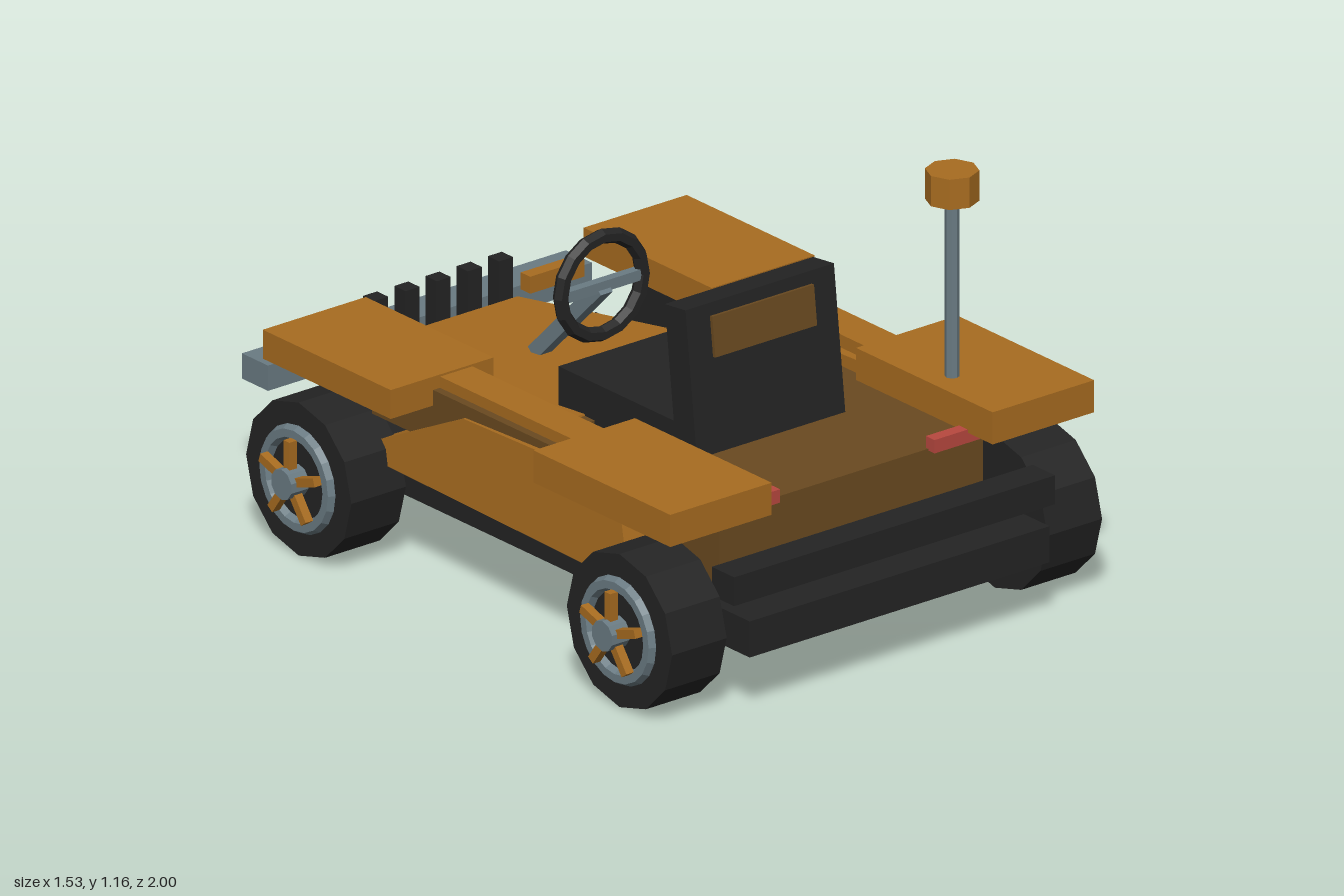
import * as THREE from 'three';

export function createModel() {
  const model = new THREE.Group();
  model.name = 'buggy';
  const mat = (name, color) => {
    const m = new THREE.MeshStandardMaterial({ color, flatShading: true });
    m.name = name;
    return m;
  };
  const orange = mat('orange paint', 0xa86c20);
  const brown = mat('brown panel', 0x6a4a20);
  const black = mat('black', 0x242424);
  const grey = mat('steel grey', 0x6a7b83);
  const red = mat('red lamp', 0xb8483f);

  const add = (name, geo, m, parent = model) => {
    const mesh = new THREE.Mesh(geo, m);
    mesh.name = name;
    parent.add(mesh);
    return mesh;
  };
  // Box given by its lower and upper limits
  const box = (name, m, x0, x1, y0, y1, z0, z1, parent) => {
    const mesh = add(name, new THREE.BoxGeometry(x1 - x0, y1 - y0, z1 - z0), m, parent);
    mesh.position.set((x0 + x1) / 2, (y0 + y1) / 2, (z0 + z1) / 2);
    return mesh;
  };
  const sideBox = (name, m, s, x0, x1, ...rest) =>
    s > 0 ? box(name, m, x0, x1, ...rest) : box(name, m, -x1, -x0, ...rest);

  // Symmetric block tapering from a back end to a front end;
  // each end is [half width, y, z] for top and bottom
  const taper = (name, m, back, front) => {
    const geo = new THREE.BoxGeometry(2, 2, 2);
    const p = geo.attributes.position;
    for (let i = 0; i < p.count; i++) {
      const end = p.getZ(i) > 0 ? back : front;
      const [w, y, z] = p.getY(i) > 0 ? end.top : end.bottom;
      p.setXYZ(i, p.getX(i) * w, y, z);
    }
    geo.computeVertexNormals();
    return add(name, geo, m);
  };

  // Chassis, bumpers and rear tub
  box('chassis', black, -0.495, 0.495, 0.165, 0.265, -0.83, 0.995);
  box('rearBumper', black, -0.53, 0.53, 0.31, 0.39, 0.885, 0.975);
  box('frontBumper', grey, -0.535, 0.535, 0.3, 0.37, -1, -0.895);
  box('rearDeck', brown, -0.435, 0.435, 0.285, 0.48, 0.17, 0.8);
  box('dash', brown, -0.405, 0.405, 0.265, 0.45, 0.015, 0.06);

  // Hood and sloping nose
  taper('hood', orange,
    { top: [0.405, 0.455, 0.02], bottom: [0.425, 0.265, 0.06] },
    { top: [0.24, 0.375, -0.835], bottom: [0.255, 0.265, -0.87] });
  taper('nose', orange,
    { top: [0.24, 0.3, -0.825], bottom: [0.26, 0.19, -0.825] },
    { top: [0.25, 0.3, -0.858], bottom: [0.26, 0.19, -0.895] });
  for (let i = -2; i <= 2; i++) {
    const x = i * 0.103;
    box('grilleBar', black, x - 0.023, x + 0.023, 0.32, 0.485, -0.885, -0.84);
  }

  // Side pod outline in z and y
  const podShape = new THREE.Shape([
    [0.64, 0.275], [0.57, 0.515], [0.4, 0.52], [-0.07, 0.5], [-0.445, 0.315], [-0.445, 0.275],
  ].map(([z, y]) => new THREE.Vector2(z, y)));

  for (const s of [-1, 1]) {
    // Pod, leaning inward at the top and widening to the rear
    const pod = new THREE.ExtrudeGeometry(podShape, { depth: 0.14, bevelEnabled: false });
    pod.translate(0, 0, -0.07).rotateY(-Math.PI / 2);
    const p = pod.attributes.position;
    for (let i = 0; i < p.count; i++) {
      const outer = p.getX(i) * s > 0;
      const w = 0.585 + 0.025 * p.getZ(i) - 0.07 * (p.getY(i) - 0.28);
      p.setX(i, s * (outer ? w : 0.43));
    }
    pod.computeVertexNormals();
    add('sidePod', pod, orange);

    sideBox('podCore', brown, s, 0.48, 0.56, 0.39, 0.535, -0.445, 0.6);
    sideBox('sideRail', orange, s, 0.43, 0.537, 0.53, 0.566, -0.21, 0.38);
    sideBox('frontFender', orange, s, 0.36, 0.7, 0.492, 0.572, -0.715, -0.2);
    sideBox('rearFender', orange, s, 0.365, 0.7, 0.503, 0.592, 0.375, 0.925);
    sideBox('headlamp', orange, s, 0.23, 0.41, 0.405, 0.452, -0.81, -0.772);
    sideBox('tailLamp', red, s, 0.255, 0.405, 0.475, 0.512, 0.79, 0.825);
  }

  // Wheels and axles
  const radius = 0.212;
  for (const z of [0.733, -0.558]) {
    const axle = add('axle', new THREE.CylinderGeometry(0.028, 0.028, 1.1, 8), grey);
    axle.rotation.z = Math.PI / 2;
    axle.position.set(0, radius, z);
    for (const s of [-1, 1]) {
      const wheel = new THREE.Group();
      wheel.name = 'wheel';
      wheel.position.set(s * 0.62, radius, z);
      wheel.rotation.y = s * Math.PI / 2; // local +z points outward
      model.add(wheel);
      add('tire', new THREE.CylinderGeometry(radius, radius, 0.18, 12).rotateX(Math.PI / 2), black, wheel);
      const rim = add('rim', new THREE.TorusGeometry(0.127, 0.022, 6, 20), grey, wheel);
      rim.position.z = 0.088;
      const hub = add('hub', new THREE.CylinderGeometry(0.042, 0.042, 0.065, 10).rotateX(Math.PI / 2), grey, wheel);
      hub.position.z = 0.115;
      for (let i = 0; i < 5; i++) {
        const spoke = add('spoke', new THREE.BoxGeometry(0.024, 0.09, 0.025).translate(0, 0.07, 0.118), orange, wheel);
        spoke.rotation.z = i * Math.PI * 2 / 5;
      }
    }
  }

  // Seat with a tilted backrest and a panel showing on both faces
  box('seatCushion', black, -0.24, 0.24, 0.44, 0.553, -0.085, 0.42);
  const backrest = new THREE.Group();
  backrest.name = 'backrest';
  backrest.position.set(0, 0.47, 0.437);
  backrest.rotation.x = -0.115;
  model.add(backrest);
  box('backrestPad', black, -0.245, 0.245, 0, 0.405, -0.042, 0.042, backrest);
  box('headrestPanel', brown, -0.168, 0.168, 0.26, 0.37, -0.052, 0.052, backrest);

  // Steering wheel and column
  const steering = add('steeringWheel', new THREE.TorusGeometry(0.135, 0.021, 6, 16), black);
  steering.position.set(0, 0.675, -0.205);
  box('steeringSpoke', grey, -0.13, 0.13, 0.66, 0.69, -0.218, -0.192);
  const column = add('steeringColumn', new THREE.BoxGeometry(0.04, 0.375, 0.04), grey);
  column.position.set(0, 0.54, -0.33);
  column.rotation.x = Math.PI / 4;

  // Mast with beacon
  const mast = add('mast', new THREE.CylinderGeometry(0.019, 0.019, 0.63, 8), grey);
  mast.position.set(0.438, 0.775, 0.673);
  const beacon = add('beacon', new THREE.CylinderGeometry(0.07, 0.07, 0.084, 8), orange);
  beacon.position.set(0.438, 1.122, 0.673);

  return model;
}
